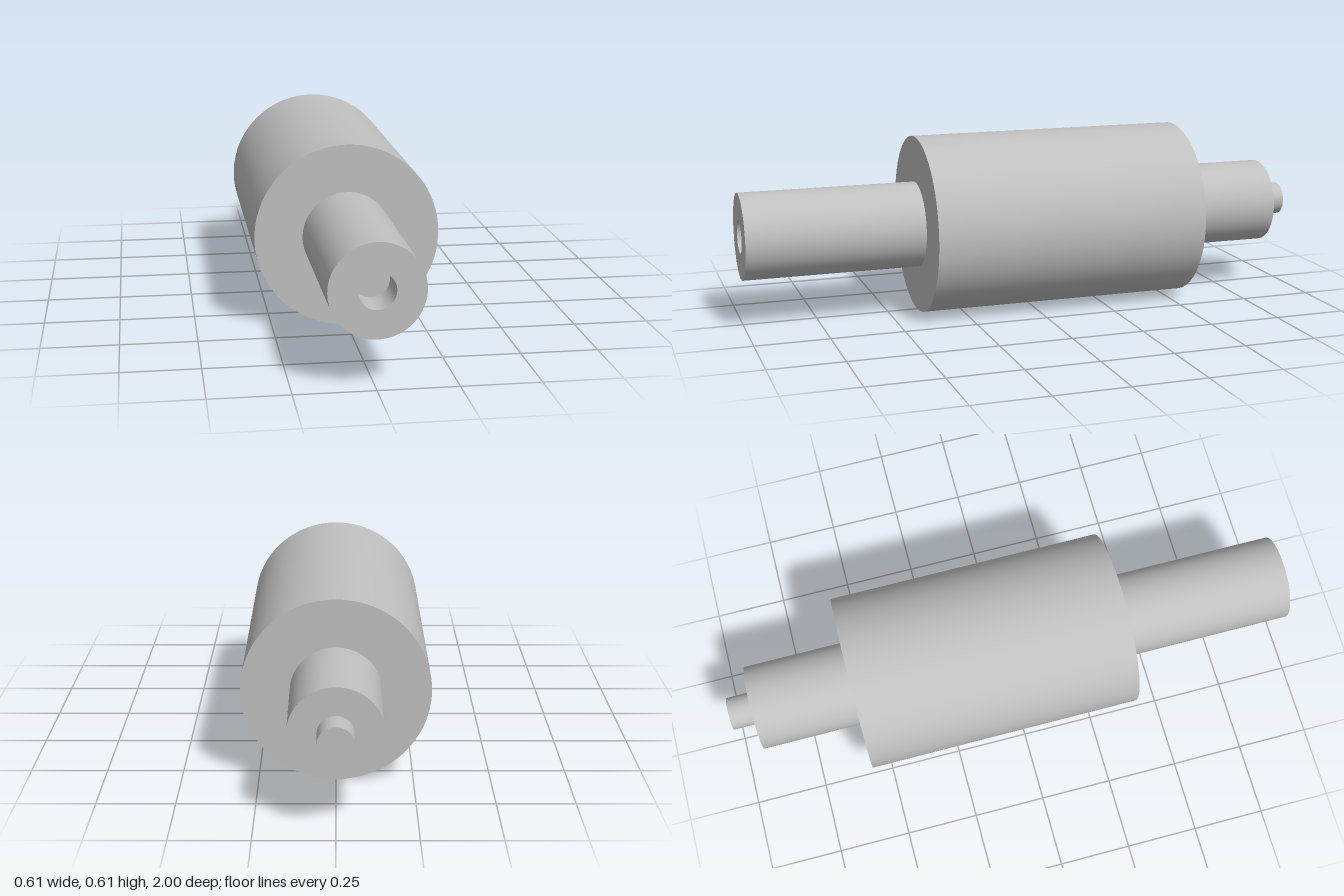
import * as THREE from 'three';
import { mergeGeometries } from 'three/addons/utils/BufferGeometryUtils.js';

const AXIS_HEIGHT = 0.305;
const DRUM_R = 0.305, SHAFT_R = 0.147, PIN_R = 0.057;
const SEGMENTS = 96;

// Turns a [radius, z] profile (listed from back to front) around the z axis, keeping every corner sharp
function turned(profile) {
  const bands = [];
  for (let i = 0; i < profile.length - 1; i++) {
    const ends = [profile[i], profile[i + 1]].map(([r, z]) => new THREE.Vector2(r, z));
    bands.push(new THREE.LatheGeometry(ends, SEGMENTS));
  }
  return mergeGeometries(bands).rotateX(Math.PI / 2);
}

export function createModel() {
  const model = new THREE.Group();
  model.name = 'roller';

  const steel = new THREE.MeshStandardMaterial({ color: 0xc0c0c0 });
  steel.name = 'grey steel';

  const parts = {
    // small locating pin at the back end
    rearPin: [[0, -1], [PIN_R, -1], [PIN_R, -0.914]],
    // short shaft with a shoulder around the pin
    rearShaft: [[PIN_R, -0.914], [SHAFT_R, -0.914], [SHAFT_R, -0.565]],
    // wide drum with flat ring ends
    drum: [[SHAFT_R, -0.565], [DRUM_R, -0.565], [DRUM_R, 0.394], [SHAFT_R, 0.394]],
    // long shaft with a blind socket in its front end
    frontShaft: [[SHAFT_R, 0.394], [SHAFT_R, 1], [PIN_R, 1], [PIN_R, 0.88], [0, 0.88]],
  };

  for (const [name, profile] of Object.entries(parts)) {
    const mesh = new THREE.Mesh(turned(profile), steel);
    mesh.name = name;
    mesh.position.y = AXIS_HEIGHT;
    model.add(mesh);
  }
  return model;
}
